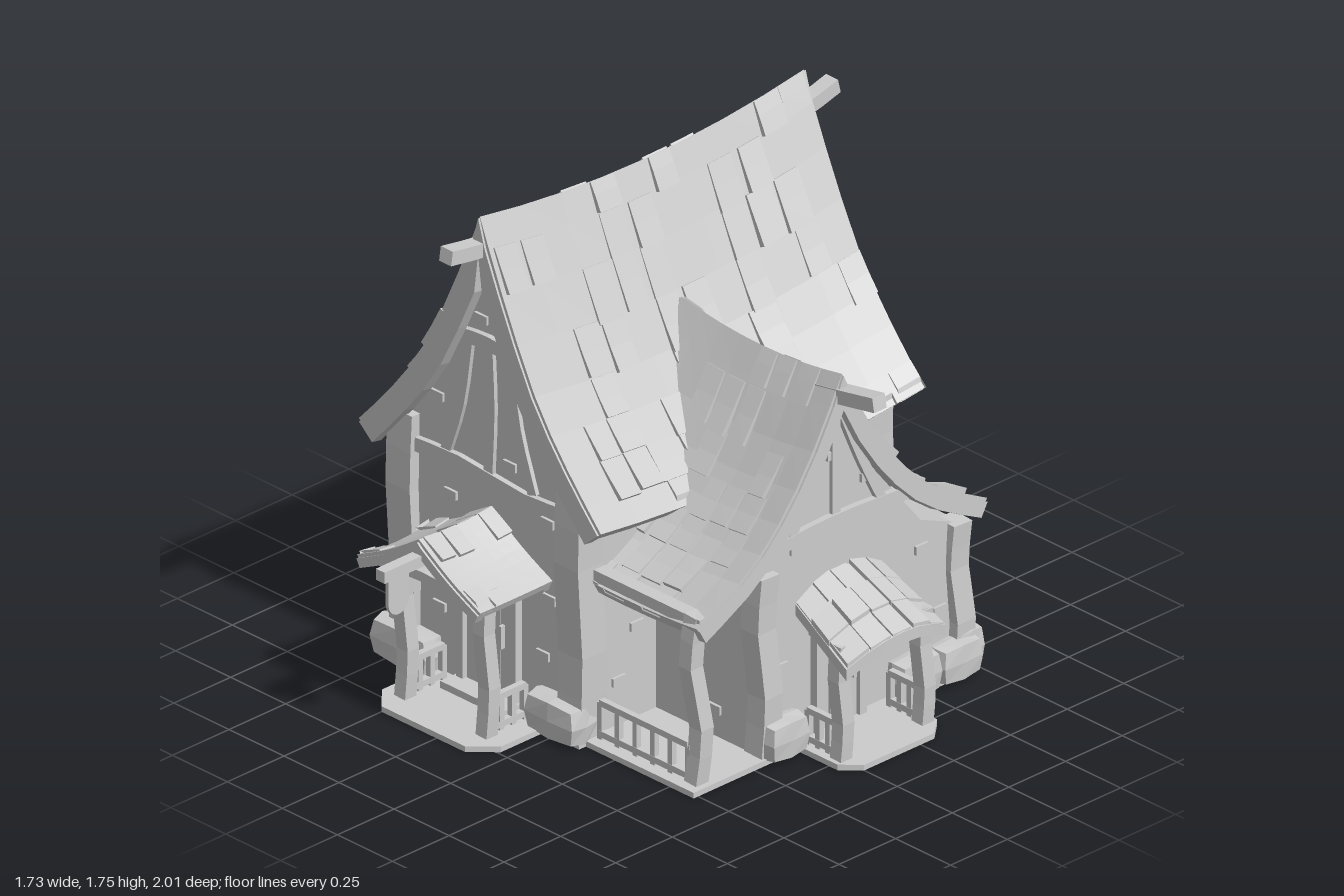
import * as THREE from 'three';

const V = (x, y, z) => new THREE.Vector3(x, y, z);
const lerp = THREE.MathUtils.lerp;

export function createModel() {
  const model = new THREE.Group();
  const stone = new THREE.MeshStandardMaterial({ color: 0xcccccc });
  stone.name = 'plain grey';
  let seed = 7;
  const rnd = (a = 0, b = 1) => {
    seed = (seed * 16807) % 2147483647;
    return a + (b - a) * (seed / 2147483647);
  };
  const group = (name, parent = model) => {
    const g = new THREE.Group();
    g.name = name;
    parent.add(g);
    return g;
  };
  // Adds a mesh with faceted normals
  const add = (name, geo, parent = model) => {
    const flat = geo.index ? geo.toNonIndexed() : geo;
    flat.computeVertexNormals();
    const m = new THREE.Mesh(flat, stone);
    m.name = name;
    parent.add(m);
    return m;
  };
  // Box given by its minimum and maximum corners
  const box = (name, x0, x1, y0, y1, z0, z1, parent) => {
    const m = add(name, new THREE.BoxGeometry(x1 - x0, y1 - y0, z1 - z0), parent);
    m.position.set((x0 + x1) / 2, (y0 + y1) / 2, (z0 + z1) / 2);
    return m;
  };
  // Segmented unit box bent by a rule f(a, b, c), each in 0..1
  const warp = (name, seg, f, parent) => {
    const g = new THREE.BoxGeometry(1, 1, 1, ...seg), p = g.attributes.position;
    for (let i = 0; i < p.count; i++) {
      const q = f(p.getX(i) + 0.5, p.getY(i) + 0.5, p.getZ(i) + 0.5);
      p.setXYZ(i, q.x, q.y, q.z);
    }
    return add(name, g, parent);
  };
  // Timber of width w swept along points; n is the face normal, d the depth
  const timber = (name, pts, w, d, n, parent) => {
    const curve = new THREE.CatmullRomCurve3(pts.map(p => V(...p)));
    const ref = V(...n);
    return warp(name, [1, pts.length > 2 ? 6 : 1, 1], (a, b, c) => {
      const t = curve.getTangent(b), side = t.clone().cross(ref).normalize();
      const out = side.clone().cross(t);
      return curve.getPoint(b).addScaledVector(side, (a - 0.5) * w).addScaledVector(out, (c - 0.5) * d);
    }, parent);
  };

  // Gabled roof along local z: bent slabs, gable boards and raised shingles
  function roof(name, profile, z0, z1, o) {
    const g = group(name);
    const curve = new THREE.SplineCurve(profile.map(p => new THREE.Vector2(...p)));
    const plate = (label, side, t0, t1, a0, a1, lo, hi0, hi1, seg) => warp(label, seg, (a, b, c) => {
      const k = side > 0 ? a : 1 - a, t = lerp(t0, t1, k), z = lerp(a0, a1, c);
      const p = curve.getPoint(t), n = curve.getTangent(t);
      const h = lerp(lo, lerp(hi0, hi1, k), b);
      const bow = 1 - (2 * (z - z0) / (z1 - z0) - 1) ** 2;
      const x = Math.max(0, p.x - n.y * h) * (1 - 0.04 * bow);
      return V(side * x, p.y + n.x * h - o.sag * bow, z);
    }, g);
    for (const side of [1, -1]) {
      plate('roofSlab', side, 0, 1, z0, z1, -o.thick, 0, 0, [8, 1, 8]);
      plate('gableBoard', side, 0, 1, z1 - 0.03, z1 + 0.008, -o.thick * 1.5, -0.012, -0.012, [8, 1, 1]);
      plate('gableBoard', side, 0, 1, z0 - 0.008, z0 + 0.03, -o.thick * 1.5, -0.012, -0.012, [8, 1, 1]);
      for (let r = 0; r < o.rows; r++) for (let c = 0; c < o.cols; c++) {
        if (rnd() > 0.55) continue;
        const w = (z1 - z0) / o.cols, a = z0 + w * (c + rnd(0, 0.12)), h = rnd(0.007, 0.022);
        const t0 = r / o.rows, t1 = Math.min(1.01, t0 + rnd(0.95, 1.1) / o.rows);
        plate('shingle', side, t0, t1, a, a + w * rnd(0.75, 0.95), -0.01, h * 0.4, h, [2, 1, 1]);
      }
    }
    return g;
  }
  roof('mainRoof', [[0, 1.75], [0.1, 1.51], [0.25, 1.2], [0.4, 0.99], [0.55, 0.82]], -0.865, 0.565,
    { sag: 0.06, thick: 0.06, rows: 8, cols: 12 }).position.x = -0.315;
  const wingRoof = roof('wingRoof', [[0, 1.28], [0.18, 0.97], [0.39, 0.74], [0.64, 0.6]], -0.12, 0.61,
    { sag: 0.035, thick: 0.045, rows: 7, cols: 8 });
  wingRoof.rotation.y = Math.PI / 2;
  wingRoof.position.z = -0.135;
  roof('porchRoof', [[0, 0.69], [0.14, 0.6], [0.28, 0.53]], 0.5, 0.83,
    { sag: 0.01, thick: 0.03, rows: 3, cols: 4 }).position.x = -0.32;

  // Walls
  const extrude = (name, pts, depth) => add(name, new THREE.ExtrudeGeometry(
    new THREE.Shape(pts.map(p => new THREE.Vector2(...p))), { depth, bevelEnabled: false }));
  extrude('mainWalls', [[-0.74, 0.01], [0.11, 0.01], [0.11, 0.86], [-0.07, 1.1], [-0.22, 1.4], [-0.315, 1.62],
    [-0.41, 1.4], [-0.56, 1.1], [-0.74, 0.86]], 1.33).position.z = -0.82;
  const wing = extrude('wingWalls', [[-0.2, 0.01], [0.71, 0.01], [0.71, 0.52], [0.52, 0.6], [0.32, 0.85], [0.135, 1.2],
    [-0.05, 0.85], [-0.2, 0.7]], 0.52);
  wing.rotation.y = Math.PI / 2;
  wing.position.x = 0.05;

  // Ground slabs, with clipped corners on the porches
  const slab = (name, pts) => {
    const m = extrude(name, pts.map(([x, z]) => [x, -z]).reverse(), 0.02);
    m.rotation.x = -Math.PI / 2;
  };
  slab('mainFloor', [[-0.76, -0.84], [0.12, -0.84], [0.12, 0.55], [-0.76, 0.55]]);
  slab('wingFloor', [[0.1, -0.74], [0.61, -0.74], [0.61, 0.52], [0.1, 0.52]]);
  slab('porchFloor', [[-0.58, 0.5], [-0.04, 0.5], [-0.04, 0.74], [-0.12, 0.82], [-0.5, 0.82], [-0.58, 0.74]]);
  slab('sidePorchFloor', [[0.58, -0.38], [0.79, -0.38], [0.85, -0.31], [0.85, 0], [0.79, 0.06], [0.58, 0.06]]);

  // Foundation stones: boxes with pinched edges
  const rock = (x, z, w, d) => {
    const h = rnd(0.13, 0.15);
    warp('foundationStone', [2, 2, 2], (a, b, c) => {
      const q = [a * 2 - 1, b * 2 - 1, c * 2 - 1];
      const k = [1, 1, 0.93, 0.83][q.filter(v => Math.abs(v) > 0.5).length];
      return V(x + q[0] * k * w / 2, 0.008 + h / 2 + q[1] * k * h / 2, z + q[2] * k * d / 2);
    });
  };
  for (let i = 0; i < 7; i++) rock(-0.745, -0.75 + i * 0.2, 0.11, 0.205);
  for (let i = 0; i < 5; i++) rock(-0.67 + i * 0.178, -0.82, 0.185, 0.12);
  for (let i = 0; i < 3; i++) rock(0.23 + i * 0.155, -0.71, 0.16, 0.11);
  rock(-0.67, 0.53, 0.27, 0.12);
  rock(0.015, 0.53, 0.235, 0.12);
  rock(0.59, 0.12, 0.12, 0.17);
  for (const z of [-0.46, -0.64]) rock(0.59, z, 0.12, 0.18);

  // Corner posts with a gentle bend
  const post = (name, x, z, y, w, bend = 0.015) => timber(name,
    [[x, 0.02, z], [x + bend, y * 0.35, z - bend], [x - bend, y * 0.7, z + bend], [x, y, z]], w, w, [0, 0, 1]);
  for (const x of [-0.7, 0.065]) {
    post('cornerPost', x, 0.49, 0.9, 0.11, 0.005);
    post('cornerPost', x, -0.79, 0.9, 0.11, 0.005);
  }
  post('wallPost', -0.735, -0.12, 0.88, 0.06, 0.006);
  post('wingPost', 0.56, 0.17, 0.66, 0.08, 0.008);
  post('wingPost', 0.56, -0.68, 0.54, 0.08, 0.008);
  post('verandaPost', 0.56, 0.46, 0.62, 0.055, 0.012);
  timber('verandaBeam', [[0.12, 0.6, 0.46], [0.6, 0.6, 0.46]], 0.04, 0.05, [0, 0, 1]);

  // Gable framing, front and back
  const F = [0, 0, 1];
  timber('gableBeam', [[-0.72, 0.79, 0.515], [-0.45, 0.805, 0.515], [-0.15, 0.78, 0.515], [0.09, 0.8, 0.515]], 0.05, 0.03, F);
  timber('gableBeam', [[-0.5, 1.26, 0.515], [-0.32, 1.28, 0.515], [-0.13, 1.26, 0.515]], 0.05, 0.03, F);
  timber('gablePost', [[-0.32, 0.81, 0.515], [-0.31, 1.05, 0.515], [-0.32, 1.27, 0.515]], 0.04, 0.02, F);
  for (const s of [-1, 1]) {
    timber('gableBrace', [[-0.32 + s * 0.2, 0.81, 0.515], [-0.32 + s * 0.13, 1.02, 0.515], [-0.32 + s * 0.09, 1.27, 0.515]], 0.04, 0.02, F);
    timber('wingBrace', [[0.575, 0.75, -0.135 + s * 0.2], [0.575, 0.93, -0.135 + s * 0.11], [0.575, 1.14, -0.135 + s * 0.02]], 0.035, 0.03, [1, 0, 0]);
  }
  timber('wingBeam', [[0.575, 0.73, 0.22], [0.575, 0.75, -0.1], [0.575, 0.73, -0.5]], 0.045, 0.035, [1, 0, 0]);
  timber('wingGablePost', [[0.575, 0.75, -0.135], [0.575, 1.15, -0.135]], 0.035, 0.02, [1, 0, 0]);

  // Ridge beams poking out of the gables
  const side = [1, 0, 0];
  timber('ridgeBeam', [[-0.32, 1.63, 0.45], [-0.32, 1.64, 0.58], [-0.32, 1.66, 0.71]], 0.05, 0.055, side);
  timber('ridgeBeam', [[-0.32, 1.61, -0.75], [-0.32, 1.62, -0.88], [-0.32, 1.65, -1]], 0.05, 0.055, side);
  timber('wingRidgeBeam', [[0.5, 1.19, -0.135], [0.62, 1.21, -0.135], [0.78, 1.24, -0.135]], 0.05, 0.055, F);

  // Railing between two points, with balusters
  function railing(x0, z0, x1, z1, y0, y1, n) {
    const g = group('railing'), N = [z0 - z1, 0, x1 - x0];
    for (const y of [y0 + 0.02, y1]) timber('rail', [[x0, y, z0], [x1, y, z1]], 0.022, 0.022, N, g);
    for (let i = 0; i <= n; i++) {
      const x = lerp(x0, x1, i / n), z = lerp(z0, z1, i / n);
      box('baluster', x - 0.01, x + 0.01, y0, y1, z - 0.01, z + 0.01, g);
    }
  }
  railing(0.14, 0.47, 0.54, 0.47, 0.02, 0.15, 5);
  for (const x of [-0.5, -0.13]) railing(x, 0.55, x, 0.71, 0.02, 0.14, 3);
  for (const z of [0.02, -0.34]) railing(0.62, z, 0.76, z, 0.02, 0.14, 3);

  // Front porch frame and hanging board
  for (const x of [-0.5, -0.13]) post('porchPost', x, 0.715, 0.55, 0.05, 0.006);
  timber('porchBeam', [[-0.56, 0.525, 0.79], [-0.32, 0.545, 0.79], [-0.08, 0.525, 0.79]], 0.035, 0.04, F);
  box('porchRidgeBeam', -0.34, -0.3, 0.6, 0.64, 0.55, 1, model);
  const board = new THREE.Shape();
  board.moveTo(-0.045, 0.14);
  board.lineTo(-0.045, 0.045);
  board.absarc(0, 0.045, 0.045, Math.PI, 2 * Math.PI, false);
  board.lineTo(0.045, 0.14);
  const sign = add('hangingBoard', new THREE.ExtrudeGeometry(board, { depth: 0.014, bevelEnabled: false, curveSegments: 6 }));
  sign.rotation.y = Math.PI / 2;
  sign.position.set(-0.327, 0.46, 0.925);

  // Side porch: bowed lean-to roof with shingles
  const lean = (name, u0, u1, v0, v1, lo, hi, seg, parent) => warp(name, seg, (a, b, c) => {
    const u = lerp(u0, u1, a), v = lerp(v0, v1, c) * 2 - 1;
    return V(0.56 + 0.3 * u - 0.03 * u * v * v, 0.57 - 0.13 * u - 0.065 * v * v + lerp(lo, hi, b), -0.16 + v * (0.19 + 0.03 * u));
  }, parent);
  const sideRoof = group('sidePorchRoof');
  lean('leanToSlab', 0, 1, 0, 1, -0.04, 0, [3, 1, 6], sideRoof);
  for (let r = 0; r < 3; r++) for (let c = 0; c < 5; c++) {
    const v = (c + rnd(0, 0.1)) / 5;
    lean('shingle', r / 3, (r + 0.98) / 3, v, v + 0.18, -0.01, rnd(0.004, 0.022), [1, 1, 1], sideRoof);
  }
  for (const z of [0.02, -0.34]) post('sidePorchPost', 0.765, z, 0.43, 0.05, 0.005);
  timber('sidePorchBeam', [[0.765, 0.41, 0.04], [0.765, 0.44, -0.16], [0.765, 0.41, -0.36]], 0.035, 0.04, side);

  // Plank doors, built facing +z and turned into place
  function door(x, y, z, turn, w, h) {
    const g = group('door');
    for (let i = 0; i < 4; i++) box('plank', -w / 2 + i * w / 4 + 0.003, -w / 2 + (i + 1) * w / 4 - 0.003, 0, h, 0, 0.012 + (i % 2) * 0.004, g);
    for (const s of [-1, 1]) box('doorJamb', s * (w / 2 + 0.015) - 0.015, s * (w / 2 + 0.015) + 0.015, 0, h, 0, 0.03, g);
    box('doorLintel', -w / 2 - 0.04, w / 2 + 0.04, h, h + 0.035, 0, 0.035, g);
    box('doorHandle', w * 0.3, w * 0.3 + 0.012, h * 0.42, h * 0.6, 0.01, 0.035, g);
    g.position.set(x, y, z);
    g.rotation.y = turn;
  }
  door(-0.315, 0.03, 0.51, 0, 0.21, 0.45);
  door(0.57, 0.02, -0.145, Math.PI / 2, 0.16, 0.35);
  door(-0.315, 0.76, -0.82, Math.PI, 0.14, 0.33);
  box('doorStep', -0.46, -0.17, 0.02, 0.045, 0.5, 0.6);

  // Back balcony
  box('balconyFloor', -0.54, -0.11, 0.74, 0.765, -0.99, -0.8);
  for (const x of [-0.52, -0.13]) {
    box('balconyPost', x - 0.02, x + 0.02, 0.72, 0.93, -1, -0.96);
    railing(x, -0.98, x, -0.82, 0.76, 0.89, 2);
    timber('balconyBracket', [[x, 0.62, -0.81], [x, 0.74, -0.93]], 0.03, 0.03, side);
  }
  railing(-0.52, -0.98, -0.13, -0.98, 0.76, 0.89, 5);

  // Bricks showing through the plaster
  const brick = (x, y, z, alongZ) => {
    const w = alongZ ? 0.01 : 0.028, d = alongZ ? 0.028 : 0.01;
    box('brick', x - w, x + w, y - 0.015, y + 0.015, z - d, z + d);
  };
  for (const [x, y] of [[-0.3, 1.5], [-0.36, 1.35], [-0.14, 1.18], [-0.56, 1], [-0.23, 0.87], [-0.5, 0.67], [-0.06, 0.73],
    [-0.59, 0.42], [-0.05, 0.46], [-0.55, 0.25], [-0.08, 0.25]]) brick(x, y, 0.51);
  for (const [x, y] of [[0.16, 0.43], [0.45, 0.53], [0.38, 0.12], [0.3, 0.3]]) brick(x, y, 0.2);
  for (const [z, y] of [[-0.13, 0.98], [-0.28, 0.85], [0.03, 0.7], [0.1, 0.3], [-0.4, 0.28], [-0.52, 0.5], [-0.6, 0.25]]) brick(0.57, y, z, true);
  for (const [z, y] of [[0.32, 0.51], [0.29, 0.35], [0.37, 0.18]]) brick(0.11, y, z, true);
  for (let i = 0; i < 18; i++) {
    brick(-0.74, 0.22 + (i % 4) * 0.15 + rnd(0, 0.06), -0.65 + i * 0.065, true);
    brick(-0.6 + (i % 6) * 0.11 + rnd(0, 0.04), 0.24 + Math.floor(i / 6) * 0.17 + rnd(0, 0.05), -0.82);
  }
  for (const [x, y] of [[-0.5, 1], [-0.12, 1.02], [-0.3, 1.3], [-0.25, 1.45]]) brick(x, y, -0.82);
  for (const [x, y] of [[0.25, 0.25], [0.4, 0.4], [0.22, 0.46]]) brick(x, y, -0.71);
  return model;
}
